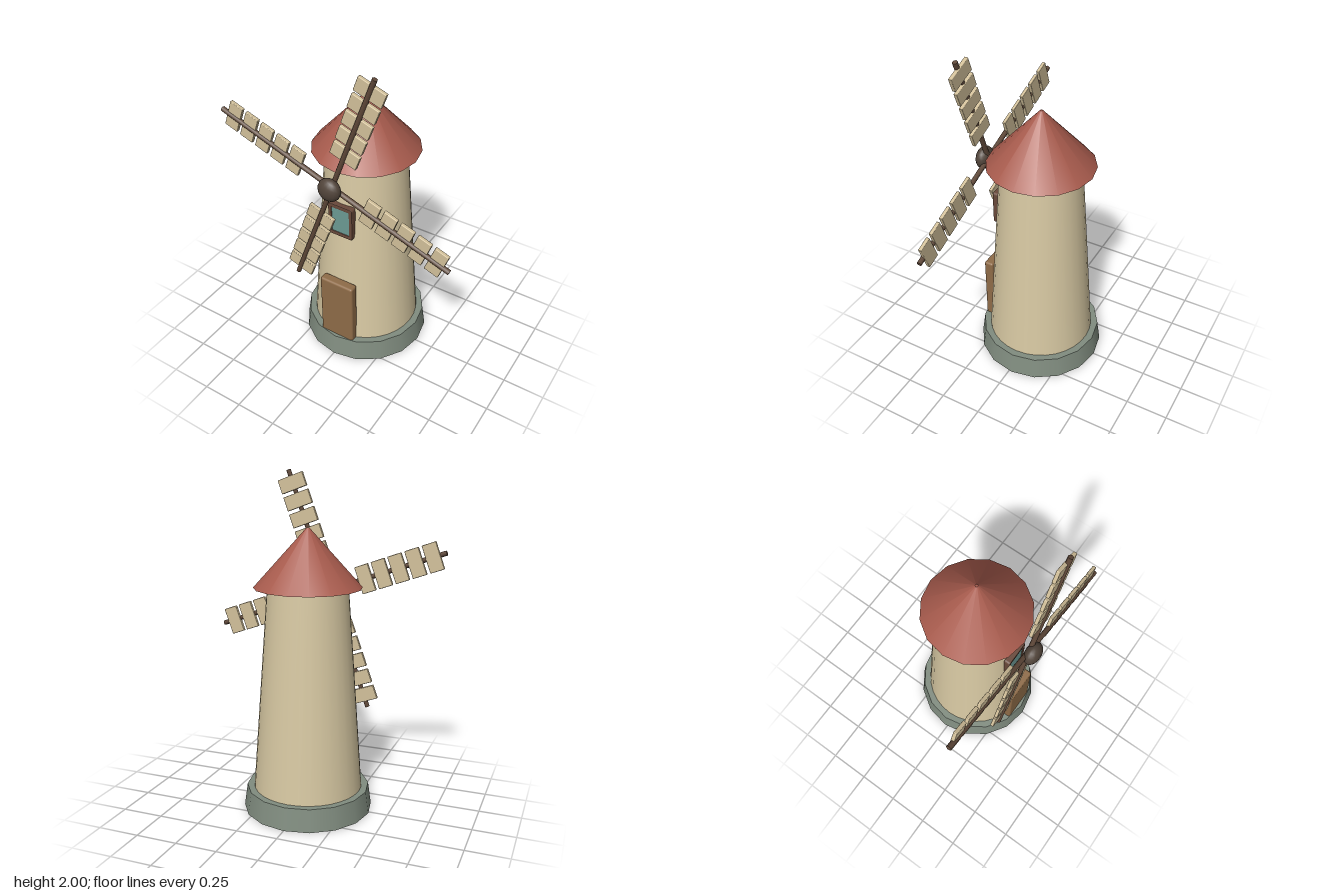
import * as THREE from 'three';
import { RoundedBoxGeometry } from 'three/addons/geometries/RoundedBoxGeometry.js';

const mat = (color) => new THREE.MeshStandardMaterial({ color });
const MATS = {
  plaster: mat(0xd8c9a3), stone: mat(0x818d80), roof: mat(0xa85b4d), door: mat(0x8f6c48),
  spar: mat(0x5f4839), hub: mat(0x51443a), slat: mat(0xd3c19b), frame: mat(0x69493a), glass: mat(0x6c9a94),
};

function part(parent, name, geometry, material, x = 0, y = 0, z = 0) {
  const mesh = new THREE.Mesh(geometry, material);
  mesh.name = name;
  mesh.position.set(x, y, z);
  parent.add(mesh);
  return mesh;
}

// Rounded rectangle outline, centred on the origin
function roundedRect(path, w, h, r) {
  const x = w / 2, y = h / 2;
  path.absarc(x - r, y - r, r, 0, Math.PI / 2);
  path.absarc(-x + r, y - r, r, Math.PI / 2, Math.PI);
  path.absarc(-x + r, -y + r, r, Math.PI, Math.PI * 1.5);
  path.absarc(x - r, -y + r, r, Math.PI * 1.5, Math.PI * 2);
  path.closePath();
  return path;
}

// Window: bevelled frame around a recessed pane
function createWindow() {
  const group = new THREE.Group();
  group.name = 'window';
  const outline = roundedRect(new THREE.Shape(), 0.15, 0.205, 0.01);
  outline.holes.push(roundedRect(new THREE.Path(), 0.125, 0.175, 0.003));
  const frame = new THREE.ExtrudeGeometry(outline, {
    depth: 0.03, bevelThickness: 0.005, bevelSize: 0.005, bevelSegments: 2, curveSegments: 4,
  });
  part(group, 'windowFrame', frame, MATS.frame, 0, 0, -0.015);
  part(group, 'windowPane', new THREE.BoxGeometry(0.13, 0.18, 0.03), MATS.glass);
  return group;
}

// One sail: a round spar crossed by five slats
function createSail() {
  const sail = new THREE.Group();
  sail.name = 'sail';
  const length = 0.77;
  part(sail, 'spar', new THREE.CylinderGeometry(0.015, 0.015, length, 8), MATS.spar, 0, length / 2, 0.003);
  const slat = new RoundedBoxGeometry(0.17, 0.088, 0.022, 2, 0.004);
  for (let i = 0; i < 5; i++) {
    part(sail, 'slat', slat, MATS.slat, 0, 0.253 + i * 0.1085, -0.004);
  }
  return sail;
}

export function createModel() {
  const model = new THREE.Group();
  model.name = 'windmill';

  // Tower body, standing a little behind the centre
  const tower = new THREE.Group();
  tower.name = 'tower';
  tower.position.z = -0.018;
  model.add(tower);
  part(tower, 'stoneBase', new THREE.CylinderGeometry(0.368, 0.387, 0.135, 16), MATS.stone, 0, 0.0675, 0);
  part(tower, 'towerWall', new THREE.CylinderGeometry(0.235, 0.335, 1.35, 32), MATS.plaster, 0, 0.678, 0);
  part(tower, 'roof', new THREE.CylinderGeometry(0.008, 0.315, 0.34, 16), MATS.roof, 0, 1.515, 0);

  // Door and window on the front
  part(model, 'door', new RoundedBoxGeometry(0.225, 0.46, 0.06, 3, 0.014), MATS.door, 0, 0.33, 0.298);
  const window = createWindow();
  window.position.set(0, 0.988, 0.245);
  model.add(window);

  // Rotor with four sails and a flattened hub
  const rotor = new THREE.Group();
  rotor.name = 'rotor';
  rotor.position.set(0, 1.27, 0.33);
  rotor.rotation.z = -THREE.MathUtils.degToRad(20);
  model.add(rotor);
  for (let i = 0; i < 4; i++) {
    const sail = createSail();
    sail.rotation.z = (i * Math.PI) / 2;
    rotor.add(sail);
  }
  const hub = part(rotor, 'hub', new THREE.SphereGeometry(0.07, 16, 12), MATS.hub, 0, 0, 0.028);
  hub.scale.z = 0.66;

  return model;
}
